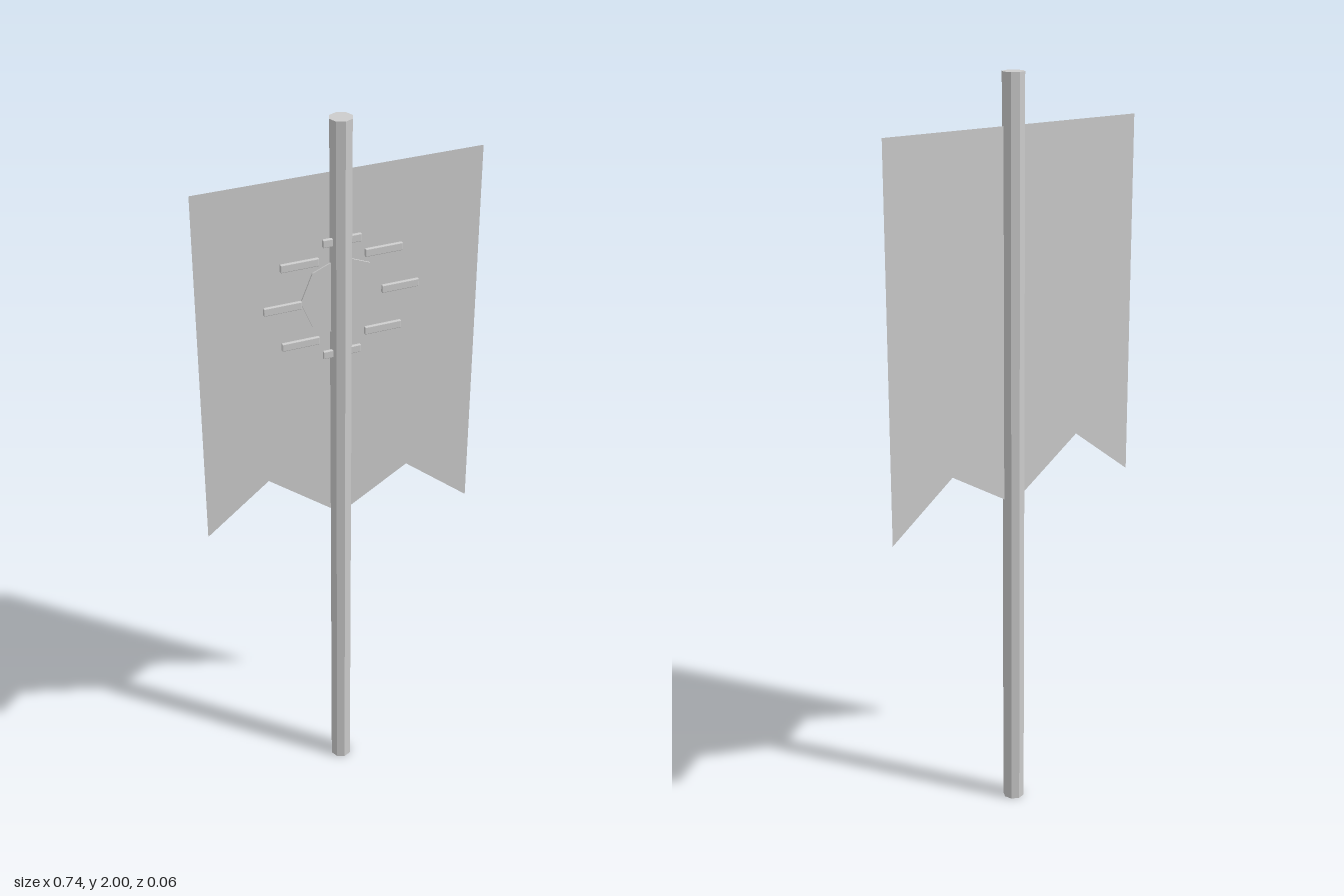
import * as THREE from 'three';
import { RoundedBoxGeometry } from 'three/addons/geometries/RoundedBoxGeometry.js';

export function createModel() {
  const group = new THREE.Group();
  const grey = new THREE.MeshStandardMaterial({ color: 0xcccccc, flatShading: true, side: THREE.DoubleSide });
  grey.name = 'plain grey';

  const add = (name, geometry, x, y, z) => {
    const mesh = new THREE.Mesh(geometry, grey);
    mesh.name = name;
    mesh.position.set(x, y, z);
    group.add(mesh);
    return mesh;
  };

  // Eight-sided pole
  add('pole', new THREE.CylinderGeometry(0.029, 0.029, 2, 8), 0, 1, 0);

  // Cloth with a ragged lower edge
  const outline = [
    [-0.37, 1.87], [-0.37, 0.905], [-0.2, 1.037], [0, 0.88],
    [0.187, 0.99], [0.367, 0.84], [0.367, 1.87],
  ].map(([x, y]) => new THREE.Vector2(x, y));
  add('cloth', new THREE.ShapeGeometry(new THREE.Shape(outline)), 0, 0, 0);

  // Sun disc on the front of the cloth
  const disc = new THREE.CylinderGeometry(0.106, 0.106, 0.004, 8).rotateX(Math.PI / 2);
  add('sunDisc', disc, 0, 1.54, 0.002);

  // Horizontal bars around the disc, mirrored left and right
  const bar = (name, x0, x1, y) => add(name,
    new RoundedBoxGeometry(x1 - x0, 0.021, 0.009, 1, 0.002), (x0 + x1) / 2, y, 0.0065);
  for (const s of [-1, 1]) {
    const side = s > 0 ? 'left' : 'right';
    const mirrored = (name, a, b, y) => bar(name, Math.min(s * a, s * b), Math.max(s * a, s * b), y);
    mirrored(`${side}MiddleRay`, 0.105, 0.203, 1.538);
    mirrored(`${side}UpperRay`, 0.06, 0.158, 1.646);
    mirrored(`${side}LowerRay`, 0.06, 0.158, 1.43);
  }
  bar('topRay', -0.05, 0.05, 1.691);
  bar('bottomRay', -0.05, 0.05, 1.384);

  return group;
}
